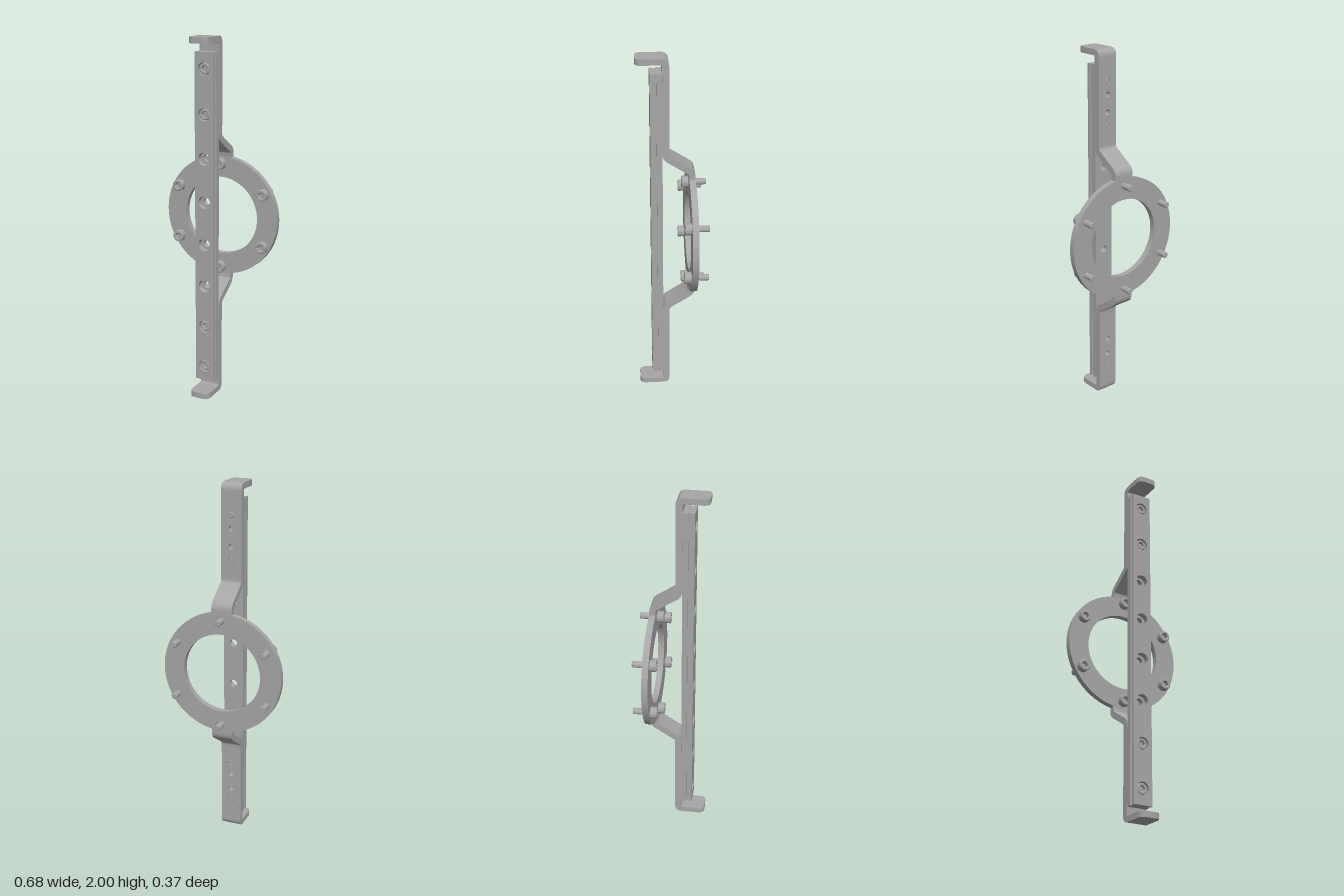
import * as THREE from 'three';
import { toCreasedNormals } from 'three/addons/utils/BufferGeometryUtils.js';

const steel = new THREE.MeshStandardMaterial({ color: 0xa6a6a6 });
steel.name = 'grey steel';

const HALF = 0.058;          // half width of the bent strip
const PITCH = 0.238;         // spacing of the rail holes

function mesh(name, geometry) {
  const m = new THREE.Mesh(toCreasedNormals(geometry, 0.5), steel);
  m.name = name;
  return m;
}

function extrude(shape, depth, z = 0) {
  const g = new THREE.ExtrudeGeometry(shape, { depth, bevelEnabled: false, curveSegments: 24 });
  return g.translate(0, 0, z);
}

function addHole(shape, x, y, r) {
  shape.holes.push(new THREE.Path().absarc(x, y, r, 0, Math.PI * 2, true));
}

function rect(x0, y0, x1, y1) {
  return new THREE.Shape([[x0, y0], [x1, y0], [x1, y1], [x0, y1]].map(p => new THREE.Vector2(...p)));
}

// Closed outline from [u, v, cornerRadius] points
function rounded(points) {
  const shape = new THREE.Shape();
  const n = points.length;
  points.forEach(([u, v, r = 0], i) => {
    const p = new THREE.Vector2(u, v);
    const toward = q => new THREE.Vector2(q[0], q[1]).sub(p).normalize().multiplyScalar(r).add(p);
    const a = toward(points[(i + n - 1) % n]);
    const b = toward(points[(i + 1) % n]);
    if (i === 0) shape.moveTo(a.x, a.y); else shape.lineTo(a.x, a.y);
    if (r) shape.quadraticCurveTo(p.x, p.y, b.x, b.y);
  });
  return shape;
}

// Side profile (z, y) swept across the strip width
function sweep(points) {
  return extrude(rounded(points), HALF * 2, -HALF).rotateY(-Math.PI / 2);
}

// Socket head screw: underside of head at z = 0, head toward +z
function screw(name, headR, headL, shankR, shankL) {
  const g = new THREE.Group();
  g.name = name;
  const b = 0.003;
  const head = new THREE.Shape().absarc(0, 0, headR, 0, Math.PI * 2, false);
  const hex = [];
  for (let i = 0; i < 6; i++) {
    const a = -i * Math.PI / 3;
    hex.push(new THREE.Vector2(Math.cos(a) * headR * 0.55, Math.sin(a) * headR * 0.55));
  }
  head.holes.push(new THREE.Path(hex));
  const headGeo = new THREE.ExtrudeGeometry(head, {
    depth: headL - 2 * b, bevelThickness: b, bevelSize: b, bevelOffset: -b, bevelSegments: 1, curveSegments: 16,
  });
  g.add(mesh('screwHead', headGeo.translate(0, 0, b)));
  const floor = new THREE.CylinderGeometry(headR * 0.7, headR * 0.7, headL * 0.4, 24).rotateX(Math.PI / 2);
  g.add(mesh('socketFloor', floor.translate(0, 0, headL * 0.2 + 0.0005)));
  const profile = [[0, -shankL], [shankR - 0.003, -shankL], [shankR, -shankL + 0.004], [shankR, 0.002], [0, 0.002]];
  const shank = new THREE.LatheGeometry(profile.map(p => new THREE.Vector2(...p)), 24);
  g.add(mesh('screwShank', shank.rotateX(Math.PI / 2)));
  return g;
}

// Upper arm, measured from the ring centre
function arm(name) {
  const g = new THREE.Group();
  g.name = name;

  // Straight plate with screw holes
  const plate = rect(-HALF, 0.5, HALF, 0.95);
  [0.595, 0.667, 0.762, 0.833].forEach(y => addHole(plate, 0, y, 0.016));
  g.add(mesh('armPlate', extrude(plate, 0.035, 0.013)));

  // Bend and hooked end flange with rounded corners
  g.add(mesh('endBend', sweep([
    [0.013, 0.95], [0.048, 0.95], [0.048, 0.968, 0.006], [0.06, 0.968], [0.06, 1], [0.013, 1, 0.04],
  ])));
  const flange = rounded([[-HALF, 0.06], [HALF, 0.06], [HALF, 0.185, 0.035], [-HALF, 0.185, 0.035]]);
  g.add(mesh('endFlange', extrude(flange, 0.032).rotateX(Math.PI / 2).translate(0, 1, 0)));

  // Dogleg stepping back to the ring
  g.add(mesh('dogleg', sweep([
    [0.013, 0.5], [0.013, 0.473, 0.012], [-0.126, 0.383, 0.03], [-0.126, 0.325],
    [-0.092, 0.325], [-0.092, 0.363, 0.012], [0.048, 0.4536, 0.03], [0.048, 0.5],
  ])));
  return g;
}

export function createModel() {
  const model = new THREE.Group();
  model.name = 'railBracket';
  const body = new THREE.Group();
  body.name = 'bracketAssembly';
  body.position.y = 1;
  model.add(body);

  // Two identical arms
  const lower = arm('lowerArm');
  lower.rotation.z = Math.PI;
  body.add(arm('upperArm'), lower);

  // Mounting ring with six screws
  const ring = new THREE.Shape().absarc(0, 0, 0.338, 0, Math.PI * 2, false);
  addHole(ring, 0, 0, 0.22);
  const ringGeo = new THREE.ExtrudeGeometry(ring, { depth: 0.034, bevelEnabled: false, curveSegments: 64 });
  body.add(mesh('mountingRing', ringGeo.translate(0, 0, -0.126)));
  for (let i = 0; i < 6; i++) {
    const a = Math.PI / 6 + i * Math.PI / 3;
    const s = screw('ringScrew', 0.032, 0.037, 0.017, 0.093);
    s.position.set(Math.cos(a) * 0.297, Math.sin(a) * 0.297, -0.092);
    body.add(s);
  }

  // Grooved rail in three layers, with counterbored holes
  const layers = [
    ['railBase', 0.056, 0.048, 0.078, 0.021],
    ['railNeck', 0.046, 0.078, 0.093, 0.035],
    ['railHead', 0.055, 0.093, 0.111, 0.035],
  ];
  for (const [name, half, z0, z1, holeR] of layers) {
    const shape = rect(-half, -0.92, half, 0.92);
    for (let i = 0; i < 8; i++) addHole(shape, 0, (i - 3.5) * PITCH, holeR);
    body.add(mesh(name, extrude(shape, z1 - z0, z0)));
  }

  // Rail screws in the outer holes
  for (const i of [0, 1, 6, 7]) {
    const s = screw('railScrew', 0.03, 0.027, 0.016, 0.063);
    s.position.set(0, (i - 3.5) * PITCH, 0.078);
    body.add(s);
  }
  return model;
}
